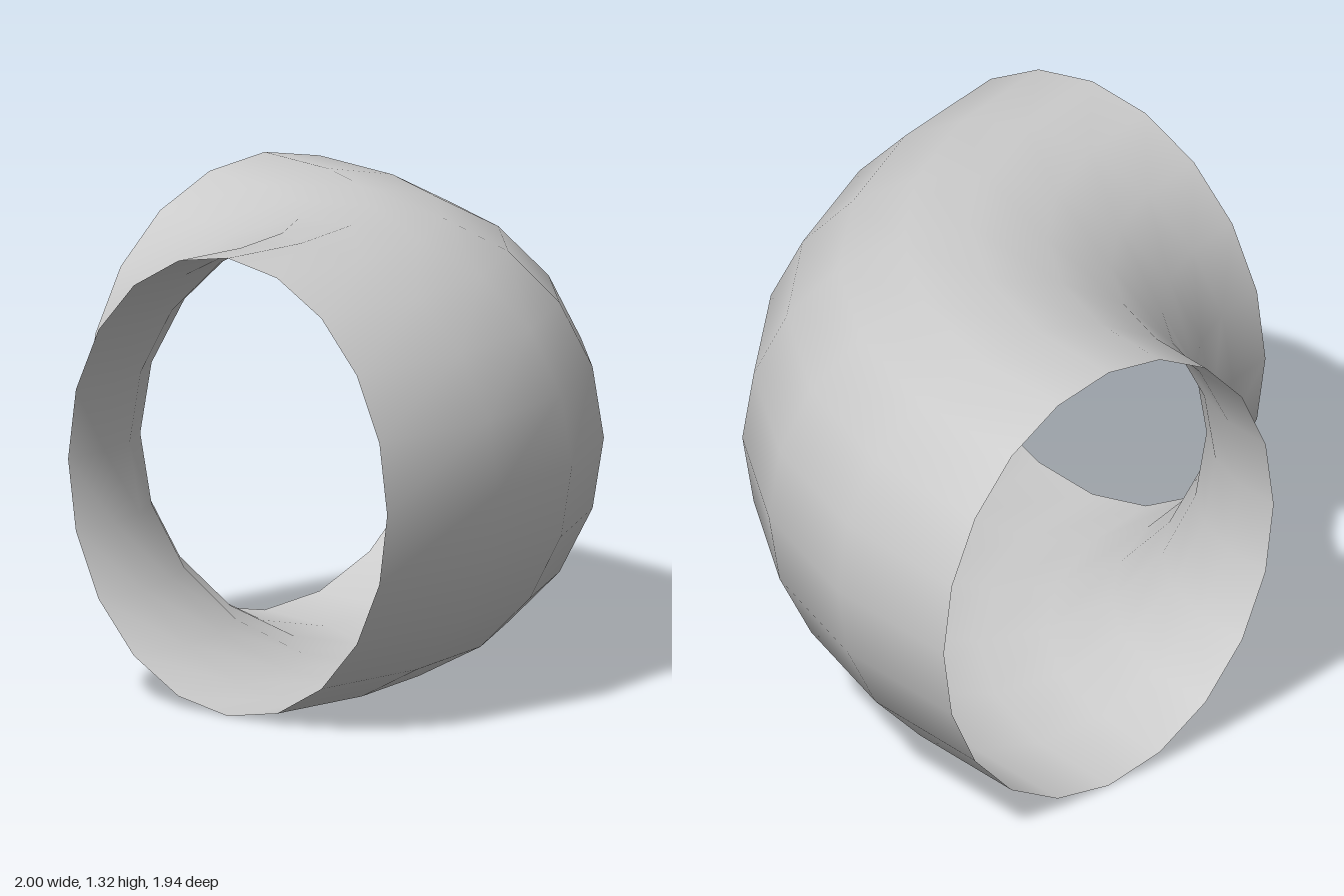
import * as THREE from 'three';

export function createModel() {
  const group = new THREE.Group();
  group.name = 'pipeElbow';

  const bendRadius = 1.323, pipeRadius = 0.662;
  const endAngle = 0.0715, arc = 1.51;

  // Open pipe bend: part of a torus, laid flat
  const geometry = new THREE.TorusGeometry(bendRadius, pipeRadius, 20, 6, arc);
  geometry.rotateZ(endAngle);
  geometry.rotateX(-Math.PI / 2);
  geometry.translate(-0.98, pipeRadius, 1.016);

  const pipe = new THREE.Mesh(
    geometry,
    new THREE.MeshStandardMaterial({ color: 0xcccccc, side: THREE.DoubleSide })
  );
  pipe.name = 'curvedPipe';
  group.add(pipe);
  return group;
}
